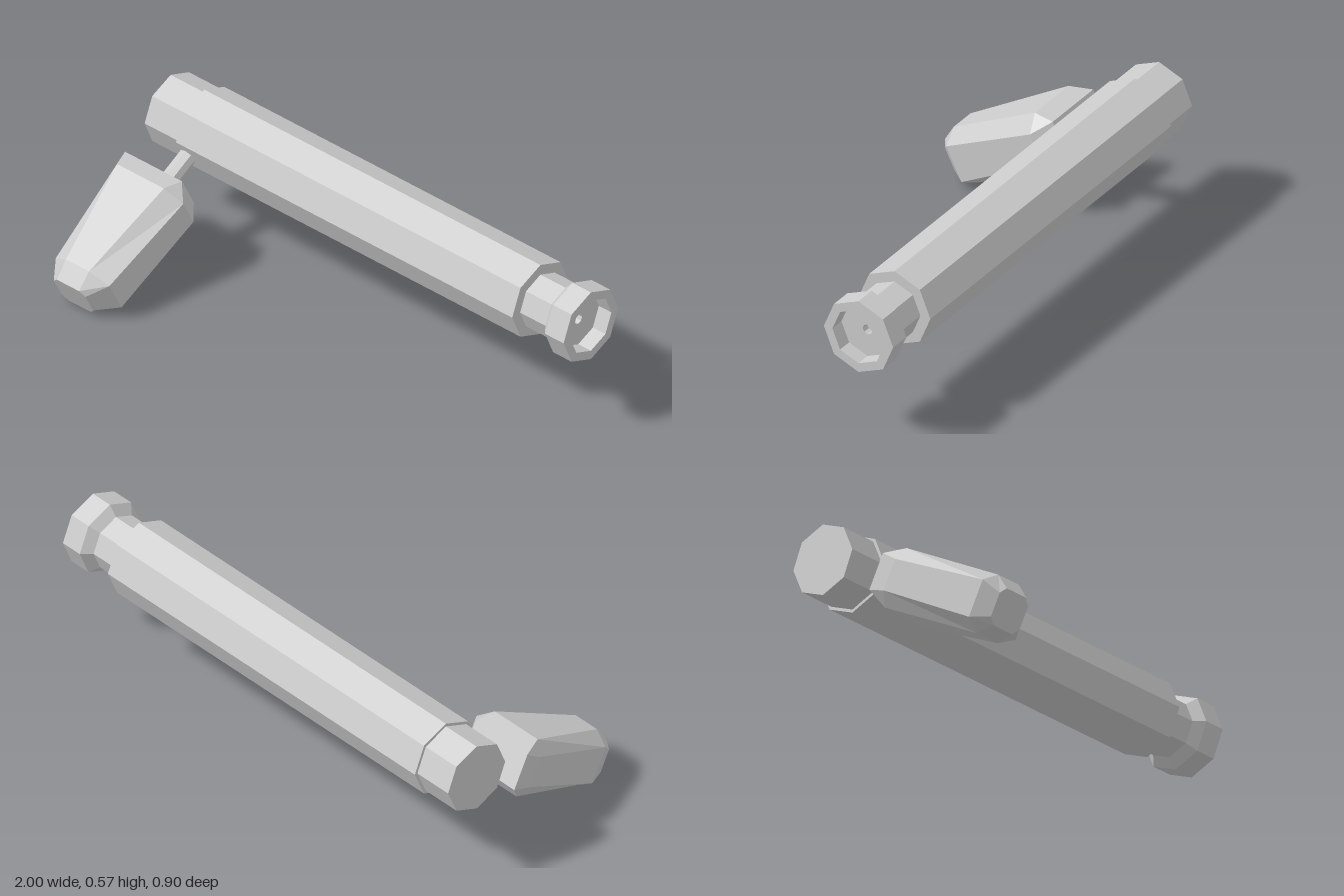
import * as THREE from 'three';

const material = new THREE.MeshStandardMaterial({ color: 0xcccccc, flatShading: true });

function part(name, geometry) {
  const mesh = new THREE.Mesh(geometry, material);
  mesh.name = name;
  return mesh;
}

// Eight corners, counter-clockwise seen from +z. Side faces sit at x = left/right
// with half height vSide; top/bottom faces sit at +-vTop between innerLeft/innerRight.
function section({ z, left, right, innerLeft, innerRight, vSide, vTop }) {
  return [
    [right, -vSide, z], [right, vSide, z], [innerRight, vTop, z], [innerLeft, vTop, z],
    [left, vSide, z], [left, -vSide, z], [innerLeft, -vTop, z], [innerRight, -vTop, z],
  ];
}

// Closed solid through a row of sections with equal corner counts
function loft(sections) {
  const n = sections[0].length;
  const index = [];
  for (let s = 0; s < sections.length - 1; s++) {
    for (let i = 0; i < n; i++) {
      const j = (i + 1) % n;
      const a = s * n + i, b = s * n + j;
      index.push(a, b, b + n, a, b + n, a + n);
    }
  }
  const last = (sections.length - 1) * n;
  for (let i = 1; i < n - 1; i++) {
    index.push(0, i + 1, i);
    index.push(last, last + i, last + i + 1);
  }
  const geometry = new THREE.BufferGeometry();
  geometry.setAttribute('position', new THREE.Float32BufferAttribute(sections.flat(2), 3));
  geometry.setIndex(index);
  const flat = geometry.toNonIndexed();
  flat.computeVertexNormals();
  return flat;
}

export function createModel() {
  const model = new THREE.Group();
  model.name = 'boltWithHandle';

  // Eight-sided bolt body with neck, flared head and recessed face
  const profile = [
    [0, -1], [0.138, -1], [0.138, -0.84], [0.15, -0.84], [0.15, 0.76],
    [0.108, 0.76], [0.108, 0.88], [0.145, 0.912], [0.145, 1],
    [0.109, 1], [0.109, 0.94], [0.02, 0.94], [0.02, 0.91], [0, 0.91],
  ].map(([r, x]) => new THREE.Vector2(r, x));
  const body = part('boltBody', new THREE.LatheGeometry(profile, 8).rotateZ(-Math.PI / 2));
  body.position.set(0, 0.427, -0.298);
  model.add(body);

  // Handle assembly, sloping forward and down along its own z axis
  const handle = new THREE.Group();
  handle.name = 'handle';
  handle.position.set(0, 0.318, -0.066);
  handle.rotation.x = THREE.MathUtils.degToRad(27);
  model.add(handle);

  // Stem from the body into the grip
  const stem = part('handleStem', new THREE.CylinderGeometry(0.034, 0.034, 0.28, 8).rotateX(Math.PI / 2));
  stem.position.set(-0.806, -0.003, -0.11);
  handle.add(stem);

  // Tapered, bevelled grip
  handle.add(part('handleGrip', loft([
    { z: 0, left: -0.98, right: -0.71, innerLeft: -0.98, innerRight: -0.71, vSide: 0.07, vTop: 0.07 },
    { z: 0.07, left: -0.98, right: -0.652, innerLeft: -0.945, innerRight: -0.722, vSide: 0.06, vTop: 0.113 },
    { z: 0.475, left: -0.93, right: -0.675, innerLeft: -0.866, innerRight: -0.755, vSide: 0.071, vTop: 0.111 },
    { z: 0.544, left: -0.895, right: -0.745, innerLeft: -0.87, innerRight: -0.765, vSide: 0.045, vTop: 0.07 },
  ].map(section))));

  return model;
}
